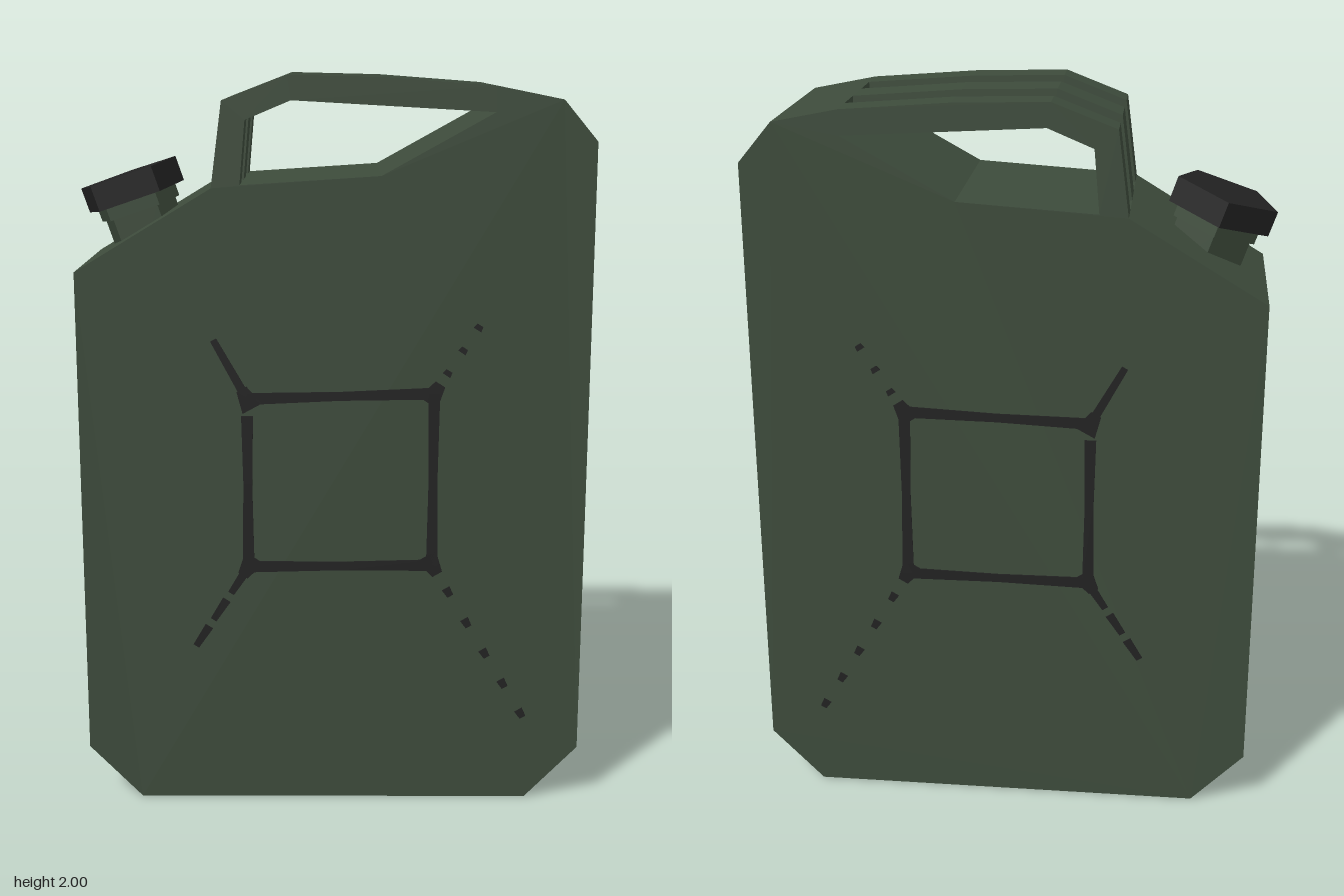
import * as THREE from 'three';

const HALF = 0.26; // half the depth of the can

function toShape(points) {
  return new THREE.Shape(points.map(([x, y]) => new THREE.Vector2(x, y)));
}

// Flat-sided solid between two z positions
function slab(shapes, z0, z1) {
  const g = new THREE.ExtrudeGeometry(shapes, { depth: z1 - z0, bevelEnabled: false });
  return g.translate(0, 0, z0);
}

// Painted stroke from a to b, tapering from width wa to wb
function stroke(a, b, wa, wb) {
  const n = new THREE.Vector2(a.y - b.y, b.x - a.x).normalize();
  const side = (p, w) => p.clone().addScaledVector(n, w / 2);
  return new THREE.Shape([side(a, -wa), side(b, -wb), side(b, wb), side(a, wa)]);
}

// Worn pressed panel: a frame with thick corners and broken diagonal creases
function panelMarks() {
  const corners = [[-0.222, 0.68], [0.28, 0.685], [0.28, 1.165], [-0.222, 1.15]]
    .map(([x, y]) => new THREE.Vector2(x, y));
  // outer end of each crease, its dash count, and how much of it is painted
  const creases = [
    [-0.37, 0.45, 3, 0.75], [0.54, 0.24, 5, 0.25], [0.4, 1.35, 3, 0.2], [-0.31, 1.31, 1, 0.95],
  ];
  const marks = [];
  corners.forEach((corner, i) => {
    const next = corners[(i + 1) % 4];
    const mid = corner.clone().lerp(next, 0.5);
    // the left side stops short of the upper corner
    const start = i === 3 ? corner.clone().lerp(next, 0.1) : corner;
    marks.push(stroke(start, mid, 0.032, 0.024), stroke(mid, next, 0.024, 0.032));

    const [x, y, count, fill] = creases[i];
    const end = new THREE.Vector2(x, y);
    const dir = end.clone().sub(corner).normalize();
    marks.push(stroke(
      corner.clone().addScaledVector(dir, -0.03), corner.clone().addScaledVector(dir, 0.03), 0.06, 0.03));
    for (let k = 0; k < count; k++) {
      marks.push(stroke(
        corner.clone().lerp(end, (k + 1 - fill) / count), corner.clone().lerp(end, (k + 1) / count),
        0.024, 0.018));
    }
  });
  return marks;
}

export function createModel() {
  const green = new THREE.MeshStandardMaterial({ color: 0x3d4b3b });
  green.name = 'olive green';
  const black = new THREE.MeshStandardMaterial({ color: 0x222222 });
  black.name = 'black';

  const model = new THREE.Group();
  model.name = 'fuelCan';
  const add = (name, geometry, material, parent = model) => {
    const mesh = new THREE.Mesh(geometry, material);
    mesh.name = name;
    parent.add(mesh);
    return mesh;
  };

  // Can body with chamfered corners and the dip below the handles
  add('body', slab(toShape([
    [-0.53, 0], [0.55, 0], [0.695, 0.15], [0.695, 1.83], [0.605, 1.937], [0.43, 1.972],
    [0.43, 1.905], [0.135, 1.742], [-0.235, 1.718], [-0.31, 1.71], [-0.675, 1.49], [-0.675, 0.15],
  ]), -HALF, HALF), green);

  // Three parallel handle bars
  const bar = toShape([
    [-0.31, 1.71], [-0.235, 1.718], [-0.22, 1.885], [-0.1, 1.935], [0.43, 1.905],
    [0.43, 1.972], [0.14, 1.994], [-0.11, 2], [-0.28, 1.935],
  ]);
  [[-HALF, -0.17], [-0.06, 0.055], [0.165, HALF]].forEach(([z0, z1], i) =>
    add('handleBar' + (i + 1), slab(bar, z0, z1), green));

  // Tilted five-sided spout and cap, flat edge facing the front
  const spout = new THREE.Group();
  spout.name = 'spout';
  spout.position.set(-0.562, 1.73, 0);
  spout.rotation.z = 0.328;
  model.add(spout);
  const prism = (name, radius, top, height, material) => {
    const g = new THREE.CylinderGeometry(radius, radius, height, 5).toNonIndexed();
    g.rotateY(Math.PI).translate(0, top - height / 2, 0);
    g.computeVertexNormals();
    add(name, g, material, spout);
  };
  prism('cap', 0.147, 0, 0.07, black);
  prism('neckCollar', 0.12, -0.07, 0.035, green);
  prism('neck', 0.108, -0.105, 0.17, green);

  // Painted marks on both broad faces
  const marks = panelMarks();
  add('frontPanelMarks', slab(marks, HALF, HALF + 0.003), black);
  add('backPanelMarks', slab(marks, -HALF - 0.003, -HALF), black);

  // Small dark spot underneath
  const spot = new THREE.CircleGeometry(0.025, 8).rotateX(Math.PI / 2);
  add('undersideSpot', spot, black).position.set(-0.2, 0, -0.13);
  model.getObjectByName('undersideSpot').position.y = -0.001;

  return model;
}
